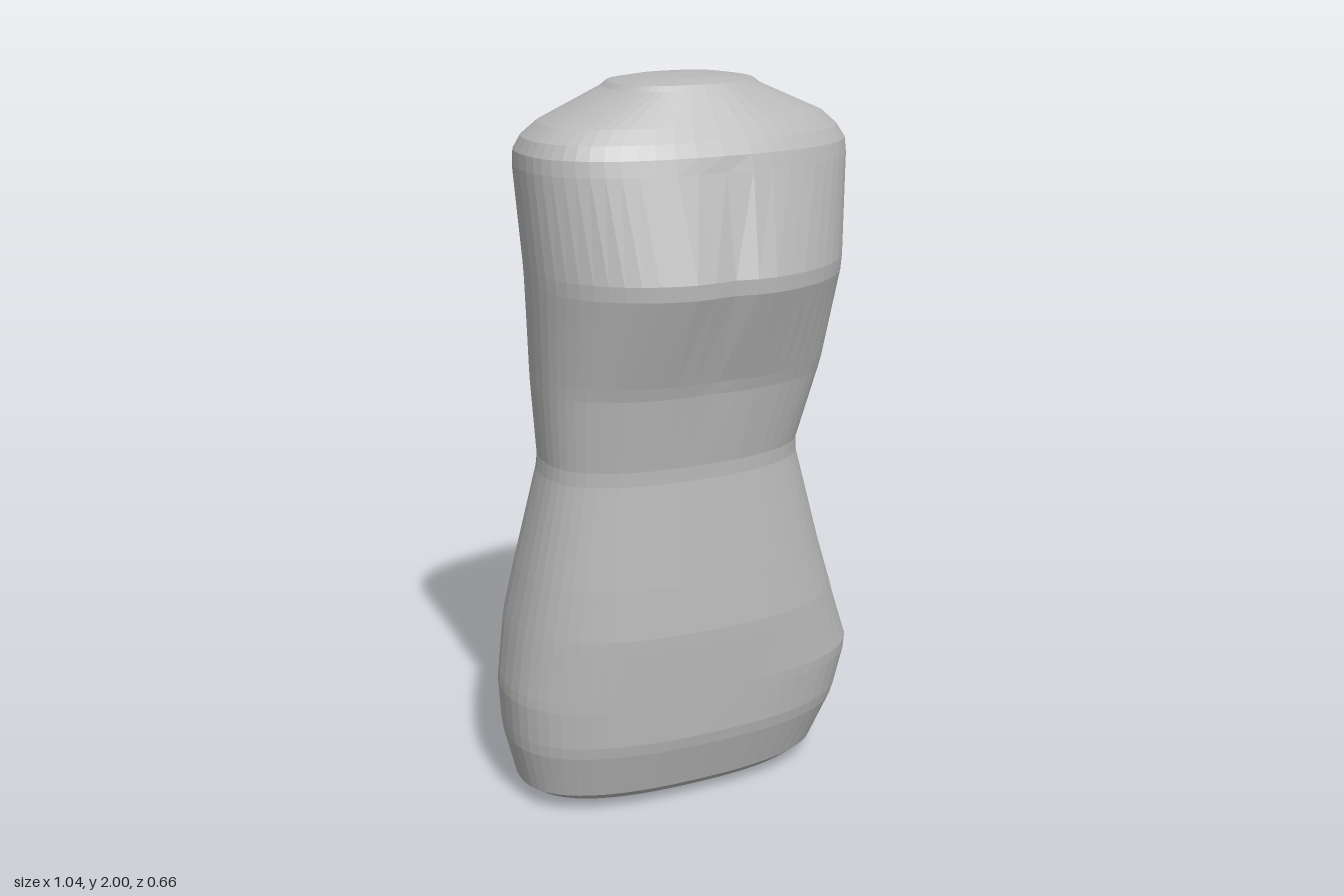
import * as THREE from 'three';

// Cross-sections: y, right x, left x, back z, front z, chest bulge depth
const SECTIONS = [
  [0.035, -0.45, 0.38, -0.22, 0.17, 0],
  [0.06, -0.485, 0.415, -0.245, 0.195, 0],
  [0.19, -0.514, 0.477, -0.295, 0.235, 0],
  [0.225, -0.517, 0.488, -0.306, 0.242, 0],
  [0.33, -0.522, 0.517, -0.312, 0.246, 0],
  [0.36, -0.52, 0.52, -0.315, 0.247, 0],
  [0.5, -0.5, 0.474, -0.33, 0.25, 0],
  [0.54, -0.493, 0.462, -0.328, 0.25, 0],
  [0.68, -0.465, 0.417, -0.295, 0.236, 0],
  [0.96, -0.405, 0.338, -0.225, 0.203, 0],
  [1.0, -0.401, 0.337, -0.222, 0.203, 0],
  [1.2, -0.412, 0.398, -0.252, 0.232, 0.003],
  [1.235, -0.413, 0.405, -0.26, 0.242, 0.005],
  [1.48, -0.424, 0.438, -0.316, 0.333, 0.018],
  [1.52, -0.426, 0.442, -0.318, 0.334, 0.018],
  [1.78, -0.44, 0.468, -0.285, 0.248, 0.003],
  [1.82, -0.438, 0.466, -0.275, 0.236, 0],
  [1.855, -0.42, 0.444, -0.25, 0.215, 0],
  [1.89, -0.375, 0.405, -0.228, 0.186, 0],
  [1.968, -0.195, 0.228, -0.185, 0.12, 0],
  [1.982, -0.178, 0.21, -0.172, 0.108, 0],
  [1.993, -0.11, 0.14, -0.12, 0.055, 0],
];
const SIDES = 56;

// Rounded-oval ring with a shallow centre dip at the front
function ring([y, x0, x1, z0, z1, dip]) {
  const cx = (x0 + x1) / 2, cz = (z0 + z1) / 2;
  const power = dip > 0.01 ? 2 / 2.2 : 2 / 2.45;
  const round = v => Math.sign(v) * Math.abs(v) ** power;
  return Array.from({ length: SIDES }, (_, i) => {
    const a = (i / SIDES) * Math.PI * 2;
    const x = cx + round(Math.sin(a)) * (x1 - x0) / 2;
    let z = cz + round(Math.cos(a)) * (z1 - z0) / 2;
    if (z > cz) z -= dip * Math.exp(-((x / 0.06) ** 2));
    return [x, y, z];
  });
}

// Skin the rings and close both ends with a fan
function loft(sections, bottom, top) {
  const positions = [...bottom], index = [];
  sections.forEach(s => ring(s).forEach(p => positions.push(...p)));
  positions.push(...top);
  const at = (r, i) => 1 + r * SIDES + (i % SIDES);
  const last = sections.length - 1, tip = 1 + sections.length * SIDES;
  for (let i = 0; i < SIDES; i++) {
    index.push(0, at(0, i + 1), at(0, i));
    for (let r = 0; r < last; r++) {
      const a = at(r, i), b = at(r, i + 1), c = at(r + 1, i + 1), d = at(r + 1, i);
      index.push(a, b, c, a, c, d);
    }
    index.push(at(last, i), at(last, i + 1), tip);
  }
  const geometry = new THREE.BufferGeometry();
  geometry.setAttribute('position', new THREE.Float32BufferAttribute(positions, 3));
  geometry.setIndex(index);
  const faceted = geometry.toNonIndexed();
  faceted.computeVertexNormals();
  return faceted;
}

export function createModel() {
  const model = new THREE.Group();
  model.name = 'torsoForm';
  const grey = new THREE.MeshStandardMaterial({ color: 0xb8b8b8 });
  grey.name = 'plain grey';
  grey.flatShading = true;

  // Base, waist, chest, shoulders and neck stump as one continuous skin
  const torso = new THREE.Mesh(loft(SECTIONS, [-0.03, 0, -0.03], [0.015, 2, -0.03]), grey);
  torso.name = 'torso';
  model.add(torso);
  return model;
}
